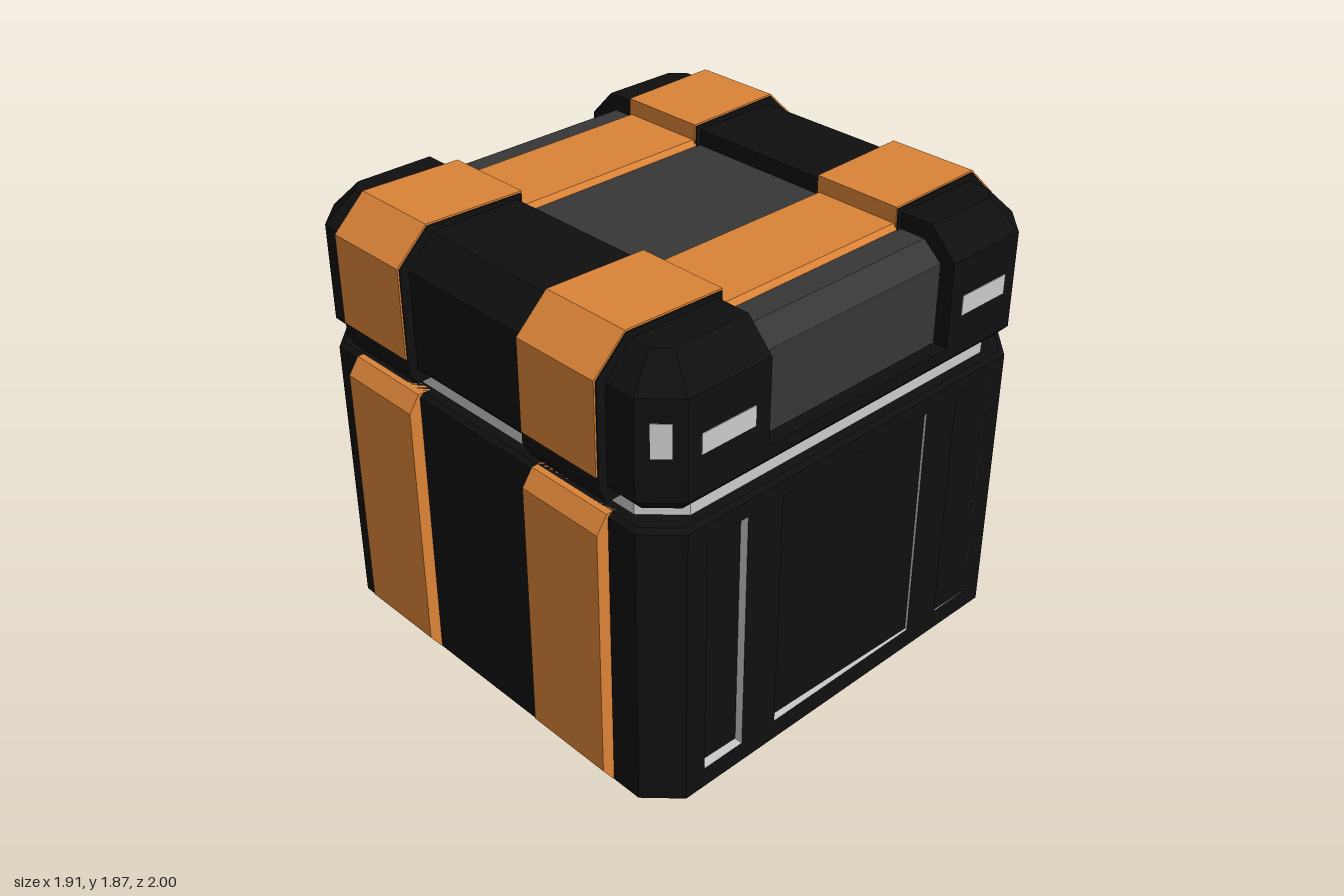
import * as THREE from 'three';

const mat = (color) => new THREE.MeshStandardMaterial({ color, flatShading: true });
const black = mat(0x0f0f0f), dark = mat(0x373737), orange = mat(0xdc8438), grey = mat(0xcccccc);

function add(parent, name, geometry, material, x = 0, y = 0, z = 0) {
  const mesh = new THREE.Mesh(geometry, material);
  mesh.name = name;
  mesh.position.set(x, y, z);
  parent.add(mesh);
  return mesh;
}

// Solid through stacked rings: sections are [y, [[x, z], ...]] from bottom to top
function loft(sections, caps = true) {
  const pos = [];
  const n = sections[0][1].length;
  const point = (s, i) => {
    const [y, ring] = sections[s];
    return [ring[i % n][0], y, ring[i % n][1]];
  };
  const tri = (...corners) => corners.forEach((c) => pos.push(...c));
  for (let s = 0; s < sections.length - 1; s++) {
    for (let i = 0; i < n; i++) {
      const a = point(s, i), b = point(s, i + 1), c = point(s + 1, i + 1), d = point(s + 1, i);
      tri(a, d, c);
      tri(a, c, b);
    }
  }
  const last = sections.length - 1;
  for (let i = 1; caps && i < n - 1; i++) {
    tri(point(0, 0), point(0, i), point(0, i + 1));
    tri(point(last, 0), point(last, i + 1), point(last, i));
  }
  const g = new THREE.BufferGeometry();
  g.setAttribute('position', new THREE.Float32BufferAttribute(pos, 3));
  g.computeVertexNormals();
  return g;
}

// Square with cut corners, moved inwards by an inset
function octagon(inset = 0, half = 0.95, cut = 0.12) {
  const h = half - inset, e = h - (cut - inset * 0.586);
  return [[h, -e], [h, e], [e, h], [-e, h], [-h, e], [-h, -e], [-e, -h], [e, -h]];
}

const shapeOf = (pts) => new THREE.Shape(pts.map(([x, y]) => new THREE.Vector2(x, y)));

// Profile extruded by a depth, centred along z
function extrude(shape, depth) {
  const g = new THREE.ExtrudeGeometry(shape, { depth, bevelEnabled: false });
  return g.translate(0, 0, -depth / 2);
}

// Profile in [z, y], swept across x
const acrossX = (pts, width) => extrude(shapeOf(pts), width).rotateY(-Math.PI / 2);

const rect = (u0, u1, y0, y1) => [[u0, y0], [u1, y0], [u1, y1], [u0, y1]];

function createBody() {
  const body = new THREE.Group();
  body.name = 'body';
  const y0 = 0.1, y1 = 1.18, r = 0.78, outer = 0.95, floor = 0.91;

  add(body, 'bodyBase', loft([[0, octagon(0.11)], [0.045, octagon()], [y0, octagon()]]), black);
  add(body, 'bodyRim', loft([[y1, octagon()], [1.205, octagon()], [1.22, octagon(0.02)]]), black);

  // Walls between base and rim, stepped in where the side plates sit
  const half = [[floor, -r], [floor, r], [outer, r], [outer, 0.83], [0.83, outer], [-0.83, outer],
    [-outer, 0.83], [-outer, r]];
  const ring = [...half.slice(1), ...half.slice(1).map(([x, z]) => [-x, -z])];
  add(body, 'bodyWalls', loft([[y0, ring], [y1, ring]], false), black);

  // Side plates with three recessed windows
  const windows = [[-0.74, -0.55], [-0.38, 0.38], [0.55, 0.74]];
  for (const turn of [0, Math.PI]) {
    const side = new THREE.Group();
    side.name = 'sidePanel';
    side.rotation.y = turn;
    const plate = shapeOf(rect(-r, r, y0, y1));
    for (const [a, b] of windows) {
      plate.holes.push(new THREE.Path(rect(a, b, 0.13, 1.14).map((p) => new THREE.Vector2(...p))));
    }
    const g = extrude(plate, outer - floor).rotateY(Math.PI / 2);
    add(side, 'sidePlate', g, [black, grey], (outer + floor) / 2);
    add(side, 'windowFloor', new THREE.BoxGeometry(0.03, y1 - y0, 2 * r), dark,
      floor - 0.013, (y0 + y1) / 2);
    body.add(side);
  }
  return body;
}

function createLid() {
  const lid = new THREE.Group();
  lid.name = 'lid';
  const cutZ = 0.46;
  add(lid, 'lidBase', loft([[1.28, octagon(0.045)], [1.33, octagon()], [1.38, octagon()]]), black);

  // Recessed middle with bevelled shoulders
  const profile = [[-0.89, 1.38], [0.89, 1.38], [0.89, 1.7], [0.81, 1.77], [-0.81, 1.77], [-0.89, 1.7]];
  add(lid, 'lidInsert', extrude(shapeOf(profile), 2 * cutZ), dark);

  // Raised ends, each half of a cut-corner ring
  const endRing = (inset) => {
    const o = octagon(inset);
    return [[o[0][0], cutZ], ...o.slice(1, 5), [o[5][0], cutZ]];
  };
  for (const turn of [0, Math.PI]) {
    const end = new THREE.Group();
    end.name = 'lidEnd';
    end.rotation.y = turn;
    add(end, 'lidEndShell', loft([[1.38, endRing(0)], [1.72, endRing(0)], [1.835, endRing(0.11)]]), black);
    for (const s of [-1, 1]) {
      add(end, 'sideLight', new THREE.BoxGeometry(0.02, 0.08, 0.245), grey, s * 0.943, 1.53, 0.65);
      const light = add(end, 'cornerLight', new THREE.BoxGeometry(0.07, 0.13, 0.02), grey,
        s * 0.885, 1.565, 0.885);
      light.rotation.y = s * Math.PI / 4;
    }
    lid.add(end);
  }
  return lid;
}

function createStraps() {
  const straps = new THREE.Group();
  straps.name = 'straps';
  const x = 0.51;
  const bodyStrap = acrossX([[0.9, 0.05], [0.955, 0.05], [1, 0.115], [1, 1.155], [0.955, 1.22], [0.9, 1.22]], 0.38);
  const clamp = acrossX([[0.44, 1.6], [0.9, 1.27], [0.955, 1.268], [0.988, 1.33], [0.988, 1.738],
    [0.858, 1.863], [0.44, 1.853]], 0.385);
  const clampFace = acrossX([[0.435, 1.7], [0.9, 1.38], [0.995, 1.38], [0.995, 1.742],
    [0.861, 1.87], [0.435, 1.86]], 0.375);
  const lidStrap = extrude(shapeOf([[-0.19, 1.7], [0.19, 1.7], [0.19, 1.775], [0.178, 1.795],
    [-0.178, 1.795], [-0.19, 1.775]]), 0.92);
  for (const s of [-1, 1]) {
    add(straps, 'lidStrap', lidStrap, orange, s * x);
    for (const turn of [0, Math.PI]) {
      const end = new THREE.Group();
      end.name = 'strapEnd';
      end.rotation.y = turn;
      add(end, 'bodyStrap', bodyStrap, orange, s * x);
      add(end, 'strapClamp', clamp, black, s * x);
      add(end, 'strapClampFace', clampFace, orange, s * x);
      straps.add(end);
    }
  }
  return straps;
}

export function createModel() {
  const crate = new THREE.Group();
  crate.name = 'crate';
  crate.add(createBody(), createLid(), createStraps());
  // Seal showing in the gap under the lid
  const seal = octagon(0, 0.89, 0.13);
  add(crate, 'seal', loft([[1.2, seal], [1.3, seal]]), grey);
  return crate;
}
